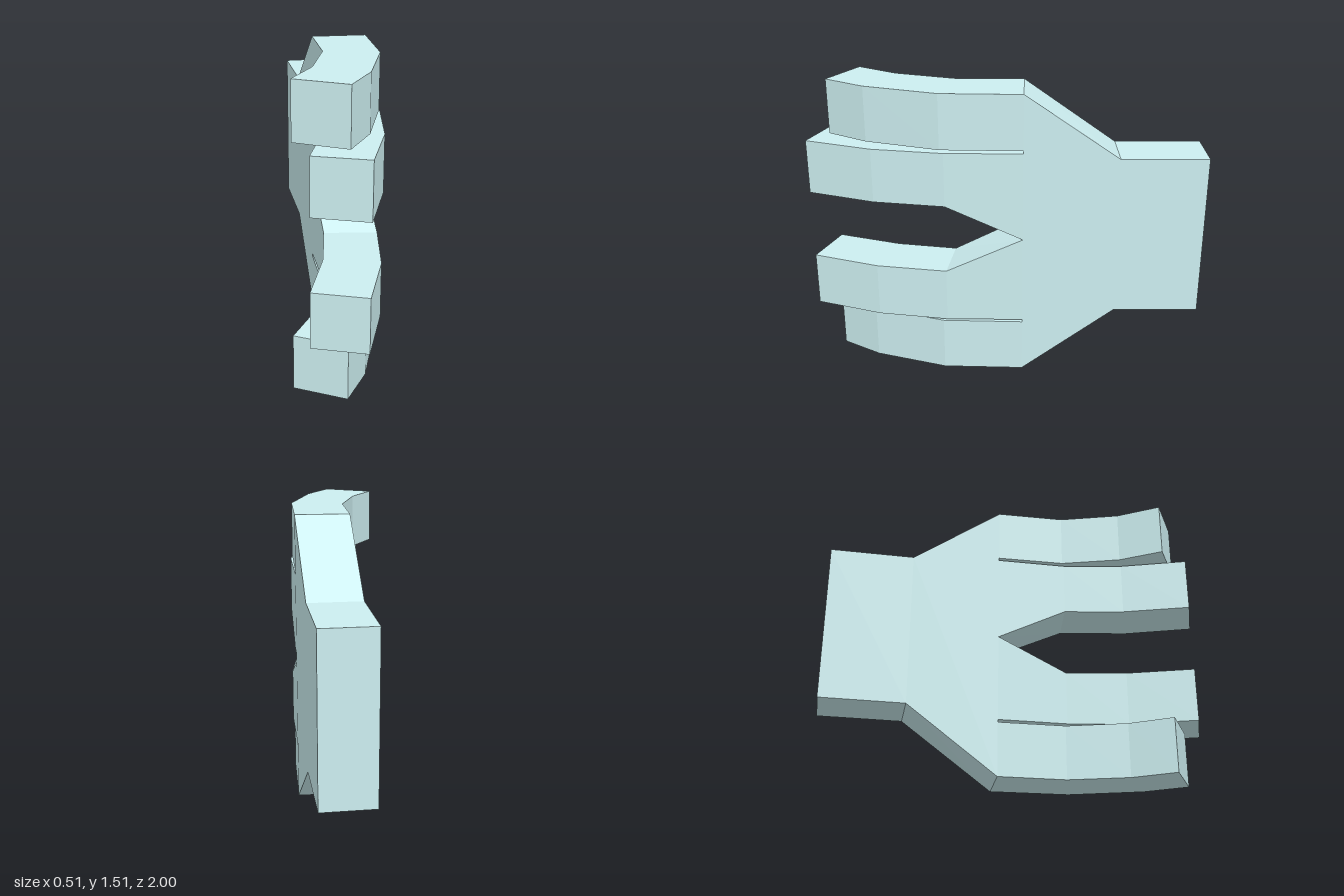
import * as THREE from 'three';

const HEIGHT = 1.515;
const material = new THREE.MeshStandardMaterial({ color: 0xcceef0, flatShading: true });

// Lofts four-cornered sections running back to front.
// Each section: [outer-side x, z, inner-side x, z, bottom y, top y]
function loft(name, sections, capBack, capFront) {
  const rings = sections.map(([lx, lz, rx, rz, y0, y1]) => [
    [lx, y0, lz], [rx, y0, rz], [rx, y1, rz], [lx, y1, lz],
  ]);
  const pos = [];
  const quad = (a, b, c, d) => pos.push(...a, ...b, ...c, ...a, ...c, ...d);
  for (let s = 0; s < rings.length - 1; s++) {
    const a = rings[s], b = rings[s + 1];
    for (let i = 0; i < 4; i++) {
      const j = (i + 1) % 4;
      quad(a[i], a[j], b[j], b[i]);
    }
  }
  if (capBack) quad(...[...rings[0]].reverse());
  if (capFront) quad(...rings[rings.length - 1]);
  const geometry = new THREE.BufferGeometry();
  geometry.setAttribute('position', new THREE.Float32BufferAttribute(pos, 3));
  geometry.computeVertexNormals();
  const mesh = new THREE.Mesh(geometry, material);
  mesh.name = name;
  return mesh;
}

// Mirrors sections about the middle height of the hand
const flip = (sections) => sections.map(([a, b, c, d, y0, y1]) => [a, b, c, d, HEIGHT - y1, HEIGHT - y0]);

export function createModel() {
  const hand = new THREE.Group();
  hand.name = 'hand';
  const knuckle = [-0.02, -0.1, 0.255, -0.09];

  // Wrist block flaring into the palm
  hand.add(loft('wristAndPalm', [
    [-0.02, -1, 0.25, -1, 0.35, 1.185],
    [-0.02, -0.565, 0.25, -0.565, 0.35, 1.185],
    [...knuckle, 0, HEIGHT],
  ], true, false));

  // Outer finger, curled most
  const outer = [
    [...knuckle, 1.232, HEIGHT],
    [-0.03, 0.25, 0.235, 0.32, 1.232, HEIGHT],
    [-0.13, 0.55, 0.105, 0.69, 1.232, HEIGHT],
    [-0.26, 0.75, -0.025, 0.89, 1.232, HEIGHT],
  ];

  // Inner finger, its root widening into the central V
  const inner = [
    [...knuckle, HEIGHT / 2, 1.218],
    [-0.025, 0.26, 0.245, 0.3, 0.937, 1.218],
    [-0.085, 0.57, 0.18, 0.66, 0.937, 1.218],
    [-0.205, 0.9, 0.05, 1, 0.937, 1.218],
  ];

  // Wall closing the narrow slit between neighbouring fingers
  const slit = [[...knuckle, 1.218, 1.232]];

  for (const [side, place] of [['upper', (s) => s], ['lower', flip]]) {
    hand.add(loft(side + 'OuterFinger', place(outer), false, true));
    hand.add(loft(side + 'InnerFinger', place(inner), false, true));
    hand.add(loft(side + 'SlitEnd', place(slit), false, true));
  }
  return hand;
}
